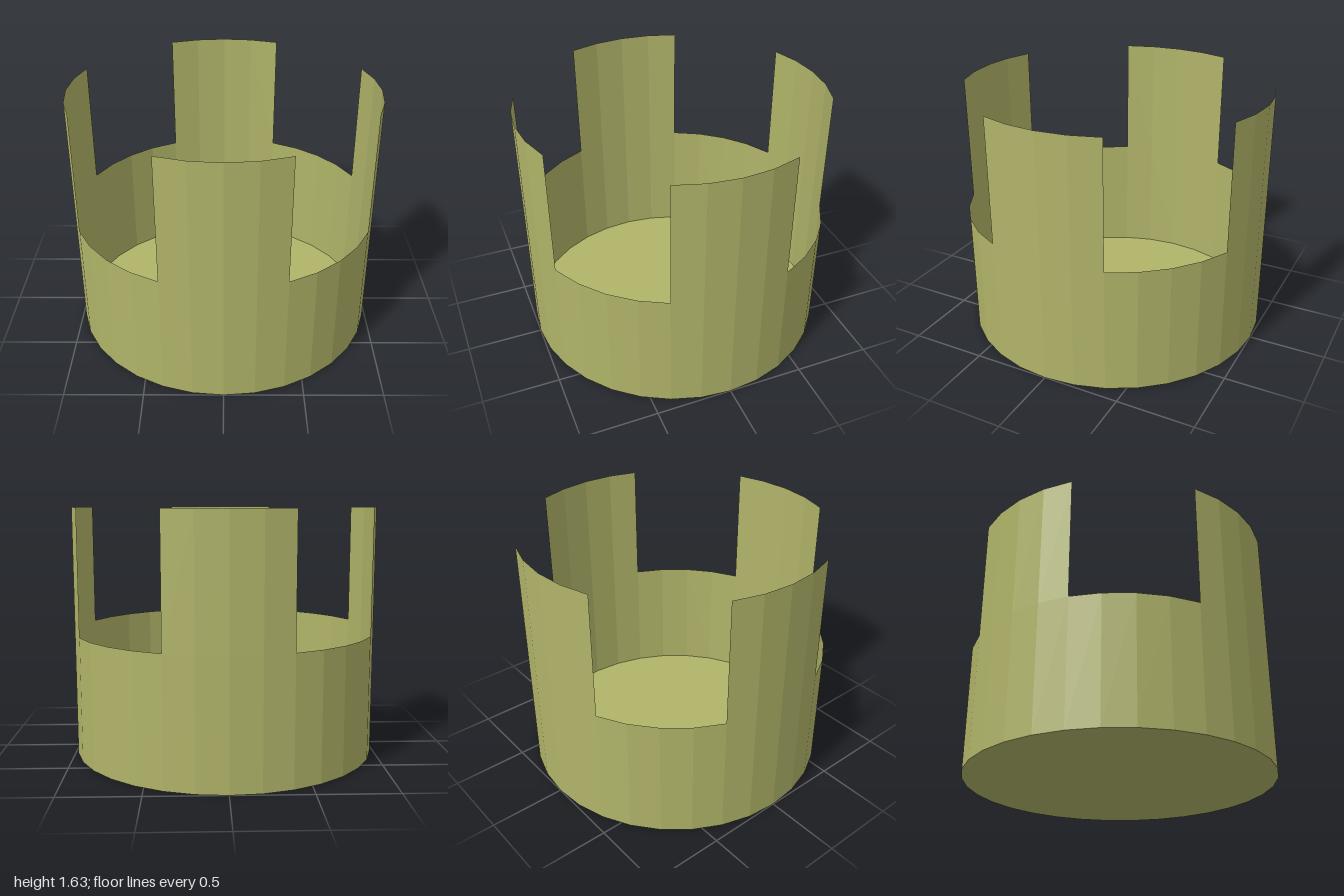
import * as THREE from 'three';

const SIDES = 32;
const RIM = 0.815; // height of the closed wall
const TOP = 1.63; // height of the upright tabs

export function createModel() {
  const model = new THREE.Group();
  model.name = 'notchedCup';
  const material = new THREE.MeshStandardMaterial({
    color: 0xb0b468, flatShading: true, side: THREE.DoubleSide,
  });

  const add = (name, geometry, y) => {
    const mesh = new THREE.Mesh(geometry, material);
    mesh.name = name;
    mesh.position.y = y;
    model.add(mesh);
    return mesh;
  };

  // Thin flat floor
  add('floor', new THREE.CircleGeometry(1, SIDES).rotateX(Math.PI / 2), 0);

  // Closed lower wall
  add('lowerWall', new THREE.CylinderGeometry(1, 1, RIM, SIDES, 1, true), RIM / 2);

  // Four upright tabs, each an eighth of the circle
  const height = TOP - RIM;
  ['frontTab', 'leftTab', 'backTab', 'rightTab'].forEach((name, i) => {
    const start = i * Math.PI / 2 - Math.PI / 8;
    add(name, new THREE.CylinderGeometry(1, 1, height, SIDES / 8, 1, true, start, Math.PI / 4), RIM + height / 2);
  });

  return model;
}
